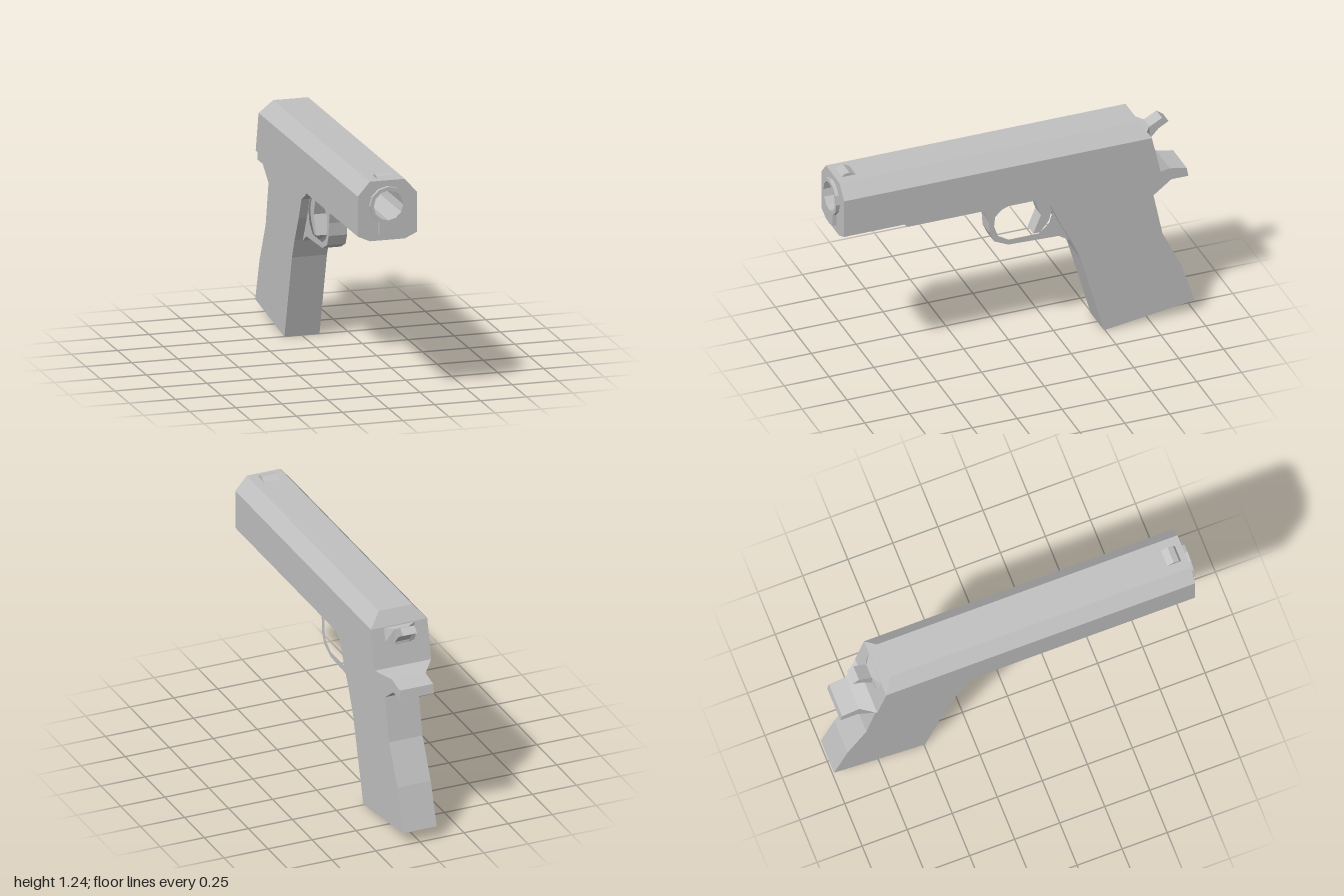
import * as THREE from 'three';
import { ConvexGeometry } from 'three/addons/geometries/ConvexGeometry.js';

const steel = new THREE.MeshStandardMaterial({ color: 0xc0c0c0, flatShading: true });
steel.name = 'steel grey';

const toShape = (pts) => new THREE.Shape(pts.map(([a, b]) => new THREE.Vector2(a, b)));
const toPath = (pts) => new THREE.Path(pts.map(([a, b]) => new THREE.Vector2(a, b)));

// Twelve-sided ring of points around the bore axis
const BORE_Y = 1.09;
const arc = (r, from = 0, count = 12) => Array.from({ length: count }, (_, i) => {
  const a = ((from + i * 30) * Math.PI) / 180;
  return [r * Math.cos(a), BORE_Y + r * Math.sin(a)];
});

function createMesh(name, geometry) {
  const mesh = new THREE.Mesh(geometry, steel);
  mesh.name = name;
  return mesh;
}

// Side profile of [z, y] points, extruded across x and centred
function sidePart(name, profile, width, hole) {
  const shape = toShape(profile);
  if (hole) shape.holes.push(toPath(hole));
  const geo = new THREE.ExtrudeGeometry(shape, { depth: width, bevelEnabled: false });
  geo.translate(0, 0, -width / 2).rotateY(-Math.PI / 2);
  return createMesh(name, geo);
}

// Octagonal slide whose rear end follows a stepped slant
function createSlide() {
  const group = new THREE.Group();
  group.name = 'slide';
  const half = [[0.095, 0.9, -0.86], [0.16, 0.93, -0.785], [0.16, 1.145, -0.735], [0.095, 1.22, -0.69]];
  const ring = [...half, ...half.map(([x, y, z]) => [-x, y, z]).reverse()];
  const front = ring.map(([x, y]) => [x, y, 0.98]);
  const pos = [];
  const quad = (a, b, c, d) => pos.push(...a, ...b, ...c, ...a, ...c, ...d);
  for (let i = 0; i < 8; i++) {
    const j = (i + 1) % 8;
    quad(front[i], ring[i], ring[j], front[j]);
  }
  for (let k = 0; k < 3; k++) quad(ring[k], ring[7 - k], ring[6 - k], ring[k + 1]);
  const geo = new THREE.BufferGeometry();
  geo.setAttribute('position', new THREE.Float32BufferAttribute(pos, 3));
  geo.computeVertexNormals();
  group.add(createMesh('slideBody', geo));

  const face = toShape(ring);
  face.holes.push(toPath(arc(0.08)));
  group.add(createMesh('slideFront', new THREE.ShapeGeometry(face).translate(0, 0, 0.98)));
  return group;
}

// Keyhole-shaped bushing with a deep bore
function createBarrel() {
  const group = new THREE.Group();
  group.name = 'barrel';
  const outline = toShape([...arc(0.1, -60, 11), [-0.05, 0.94], [0, 0.927], [0.05, 0.94]]);
  outline.holes.push(toPath(arc(0.08)));
  const bushing = new THREE.ExtrudeGeometry(outline, { depth: 0.4, bevelEnabled: false });
  group.add(createMesh('bushing', bushing.translate(0, 0, 0.6)));
  group.add(createMesh('boreEnd', new THREE.ShapeGeometry(toShape(arc(0.082))).translate(0, 0, 0.61)));
  return group;
}

export function createModel() {
  const model = new THREE.Group();
  model.name = 'pistol';
  model.add(createSlide(), createBarrel());

  model.add(sidePart('frontSight', [[0.95, 1.215], [0.935, 1.234], [0.905, 1.24], [0.86, 1.215]], 0.09));

  // Frame, grip and rear tang share one profile
  model.add(sidePart('frameAndGrip', [
    [0.63, 0.9], [0.6, 0.87], [-0.11, 0.87], [-0.2, 0.815], [-0.25, 0.7], [-0.32, 0.565],
    [-0.365, 0.46], [-0.43, 0.23], [-0.495, 0], [-1, 0.07], [-0.925, 0.3], [-0.82, 0.515],
    [-0.77, 0.755], [-0.87, 0.83], [-0.965, 0.83], [-0.955, 0.88], [-0.85, 0.9],
  ], 0.19));

  model.add(sidePart('triggerGuard', [
    [0.21, 0.872], [0.145, 0.825], [0.13, 0.77], [0.125, 0.7], [0.1, 0.645], [0.02, 0.608],
    [-0.26, 0.598], [-0.322, 0.558], [-0.26, 0.7], [-0.235, 0.75], [-0.21, 0.815], [-0.12, 0.872],
  ], 0.1, [
    [0.005, 0.847], [0.06, 0.825], [0.095, 0.79], [0.1, 0.735], [0.08, 0.675], [0.02, 0.638],
    [-0.15, 0.638], [-0.205, 0.685], [-0.225, 0.75], [-0.19, 0.82], [-0.13, 0.847],
  ]));

  model.add(sidePart('trigger', [
    [-0.125, 0.86], [-0.165, 0.74], [-0.122, 0.637], [-0.16, 0.637], [-0.21, 0.7],
    [-0.23, 0.78], [-0.18, 0.86],
  ], 0.08));

  // Hammer spur on a base that flares into the slide
  const hammer = new THREE.Group();
  hammer.name = 'hammer';
  hammer.add(sidePart('hammerSpur', [
    [-0.72, 1.14], [-0.77, 1.14], [-0.84, 1.177], [-0.876, 1.15], [-0.82, 1.118],
    [-0.775, 1.07], [-0.74, 1.04],
  ], 0.08));
  const base = [];
  for (const s of [-1, 1]) {
    for (const [x, y, z] of [[0.095, 1.14, -0.73], [0.095, 1.05, -0.75], [0.04, 1.14, -0.768], [0.04, 1.05, -0.77]]) {
      base.push(new THREE.Vector3(s * x, y, z));
    }
  }
  hammer.add(createMesh('hammerBase', new ConvexGeometry(base)));
  model.add(hammer);
  return model;
}
